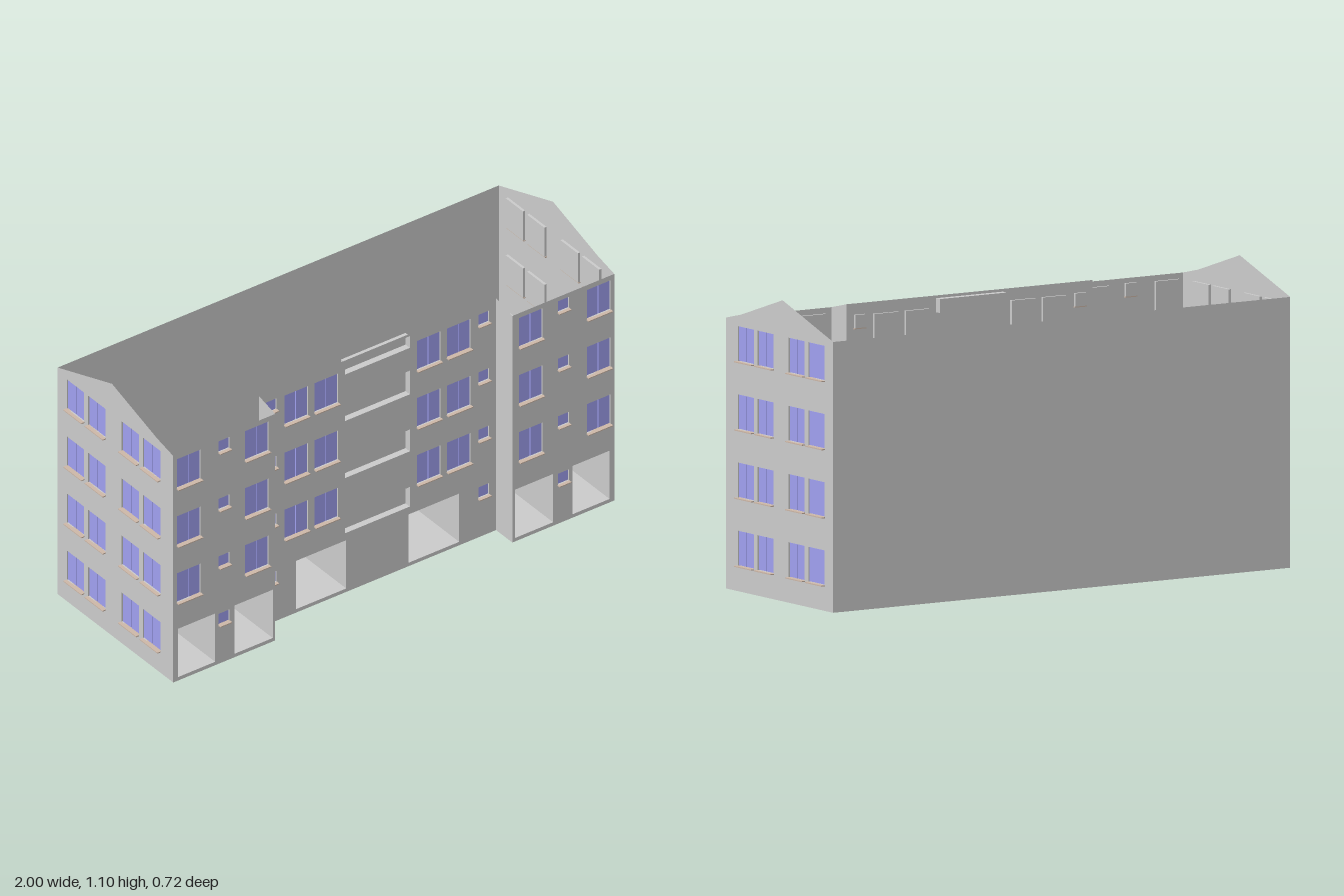
import * as THREE from 'three';

const grey = new THREE.MeshStandardMaterial({ color: 0xcccccc, side: THREE.DoubleSide });
const glass = new THREE.MeshStandardMaterial({ color: 0xa0a0f0 });
const sillMat = new THREE.MeshStandardMaterial({ color: 0xcdb8a8 });

// Main dimensions
const END = 0.984, WING = 0.529;            // half length, inner edge of the wings
const FRONT = 0.344, MID = 0.245, BACK = -0.358;
const EAVE = 0.985, MID_TOP = 1.008, RIDGE = 1.095;
const BASE = 0.093, STOREY = 0.248;         // sill height of ground floor, storey height

function add(parent, name, geometry, material, x = 0, y = 0, z = 0) {
  const mesh = new THREE.Mesh(geometry, material);
  mesh.name = name;
  mesh.position.set(x, y, z);
  parent.add(mesh);
  return mesh;
}

// Box without its front face, reaching back from z = 0
function recess(parent, name, { x, y, w, h, depth }) {
  const geo = new THREE.BoxGeometry(w, h, depth);
  const index = Array.from(geo.index.array);
  index.splice(24, 6);
  geo.setIndex(index);
  add(parent, name, geo, grey, x, y + h / 2, -depth / 2);
}

// Openings: x is the centre, y the lower edge
const bigWindow = (x, floor) => ({ kind: 'window', x, y: BASE + floor * STOREY, w: 0.105, h: 0.127, depth: 0.01, panes: 2 });
const smallWindow = (x, floor) => ({ kind: 'window', x, y: 0.169 + floor * 0.25, w: 0.048, h: 0.048, depth: 0.01, panes: 1 });
const garage = (x0, x1, depth) => ({ kind: 'garage', x: (x0 + x1) / 2, y: 0.015, w: x1 - x0, h: 0.21, depth });
const balcony = (y0, y1) => ({ kind: 'balcony', x: 0, y: y0, w: 0.288, h: y1 - y0, depth: 0.026 });

// Flat wall with holes, recesses, glass and sills; it faces local +z
function wall(name, outline, openings = []) {
  const group = new THREE.Group();
  group.name = name;
  const shape = new THREE.Shape(outline.map(([x, y]) => new THREE.Vector2(x, y)));
  for (const o of openings) {
    const l = o.x - o.w / 2, r = o.x + o.w / 2, t = o.y + o.h;
    shape.holes.push(new THREE.Path([[l, o.y], [l, t], [r, t], [r, o.y]].map(p => new THREE.Vector2(...p))));
    recess(group, o.kind + 'Recess', o);
    if (o.kind !== 'window') continue;
    const pw = o.w / o.panes;
    for (let i = 0; i < o.panes; i++) {
      const px = l + pw * (i + 0.5);
      add(group, 'windowPane', new THREE.BoxGeometry(pw - 0.003, o.h - 0.003, 0.004), glass, px, o.y + o.h / 2, -0.006);
    }
    add(group, 'windowSill', new THREE.BoxGeometry(o.w + 0.004, 0.004, 0.022), sillMat, o.x, o.y - 0.002, 0.003);
  }
  add(group, 'wallSurface', new THREE.ShapeGeometry(shape), grey);
  return group;
}

const rect = (x0, x1, top) => [[x0, 0], [x1, 0], [x1, top], [x0, top]];

export function createModel() {
  const model = new THREE.Group();
  model.name = 'apartmentBuilding';
  const floors = [0, 1, 2, 3], upper = [1, 2, 3];

  // Recessed middle of the front, with balconies and two garages
  const midOpenings = [
    balcony(0.257, 0.342), balcony(0.497, 0.592), balcony(0.745, 0.848), balcony(0.947, 0.998),
  ];
  for (const s of [-1, 1]) {
    midOpenings.push(garage(s * 0.252 - 0.1125, s * 0.252 + 0.1125, MID + 0.343));
    for (const f of upper) midOpenings.push(bigWindow(s * 0.228, f), bigWindow(s * 0.363, f));
    for (const f of floors) midOpenings.push(smallWindow(s * 0.474, f));
  }
  const middle = wall('middleFrontWall', rect(-WING, WING, MID_TOP), midOpenings);
  middle.position.z = MID;
  model.add(middle);

  for (const s of [-1, 1]) {
    const side = s > 0 ? 'left' : 'right';

    // Projecting wing front
    const openings = [
      garage(s * 0.6255 - 0.0855, s * 0.6255 + 0.0855, FRONT + 0.348),
      garage(s * 0.88 - 0.083, s * 0.88 + 0.083, FRONT + 0.348),
    ];
    for (const f of upper) openings.push(bigWindow(s * 0.611, f), bigWindow(s * 0.914, f));
    for (const f of floors) openings.push(smallWindow(s * 0.757, f));
    const x0 = Math.min(s * WING, s * END), x1 = Math.max(s * WING, s * END);
    const wing = wall(side + 'WingFront', rect(x0, x1, EAVE), openings);
    wing.position.z = FRONT;
    model.add(wing);

    // Gable end; local x runs along -z on the left and +z on the right
    const endOpenings = [];
    for (const z of [0.213, 0.083, -0.12, -0.25])
      for (const f of floors) endOpenings.push(bigWindow(-s * z, f));
    const gable = [[FRONT, 0], [FRONT, EAVE], [MID, MID_TOP], [-0.028, RIDGE], [BACK, EAVE], [BACK, 0]];
    const end = wall(side + 'GableWall', gable.map(([z, y]) => [-s * z, y]), endOpenings);
    end.rotation.y = s * Math.PI / 2;
    end.position.x = s * END;
    model.add(end);

    // Short return wall between wing and middle
    const back = wall(side + 'WingReturn', [[-FRONT, 0], [-MID, 0], [-MID, MID_TOP], [-FRONT, EAVE]]);
    back.rotation.y = Math.PI / 2;
    back.position.x = s * WING;
    model.add(back);
  }

  // Blank rear wall
  const rear = wall('rearWall', rect(-END, END, EAVE));
  rear.rotation.y = Math.PI;
  rear.position.z = BACK;
  model.add(rear);

  // Ground slab following the plan
  const plan = [[-END, BACK], [END, BACK], [END, FRONT], [WING, FRONT], [WING, MID], [-WING, MID], [-WING, FRONT], [-END, FRONT]];
  const slab = new THREE.ShapeGeometry(new THREE.Shape(plan.map(p => new THREE.Vector2(...p))));
  add(model, 'groundFloor', slab.rotateX(Math.PI / 2), grey);

  return model;
}
